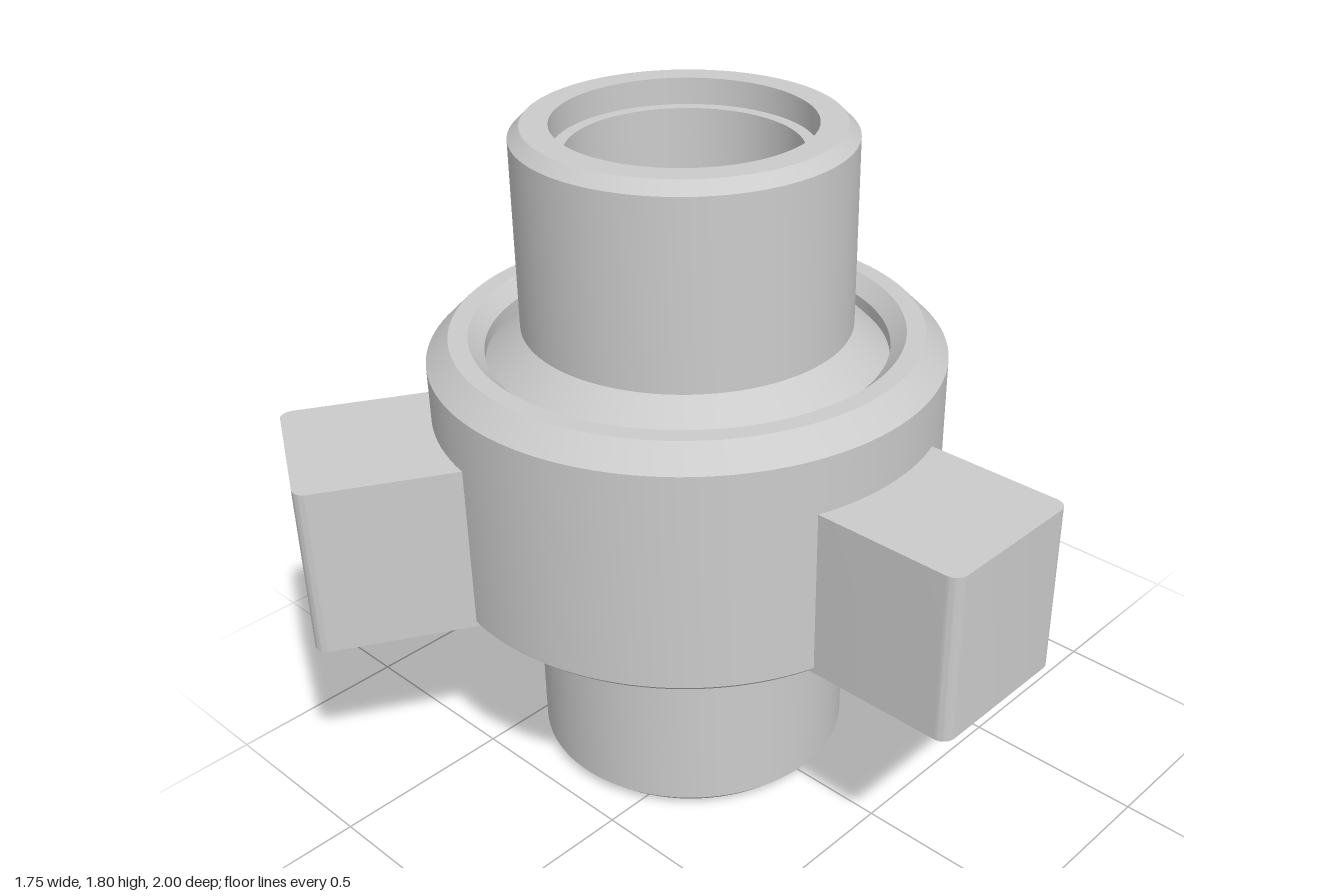
import * as THREE from 'three';
import { toCreasedNormals } from 'three/addons/utils/BufferGeometryUtils.js';

const material = new THREE.MeshStandardMaterial({ color: 0xcccccc });

// Closed ring turned from [radius, height] points, listed outside upward, inside downward
function turned(name, points) {
  const profile = [...points, points[0]].map(([r, y]) => new THREE.Vector2(r, y));
  const mesh = new THREE.Mesh(toCreasedNormals(new THREE.LatheGeometry(profile, 128), 0.3), material);
  mesh.name = name;
  return mesh;
}

// Wing lug: a block with rounded outer corners, reaching out along +x
function lugGeometry() {
  const inner = 0.6, outer = 1.045, half = 0.22, r = 0.035;
  const shape = new THREE.Shape();
  shape.moveTo(inner, -half);
  shape.lineTo(outer - r, -half);
  shape.absarc(outer - r, -half + r, r, -Math.PI / 2, 0);
  shape.absarc(outer - r, half - r, r, 0, Math.PI / 2);
  shape.lineTo(inner, half);
  shape.closePath();
  const geometry = new THREE.ExtrudeGeometry(shape, { depth: 0.465, bevelEnabled: false, curveSegments: 8 });
  geometry.rotateX(-Math.PI / 2).translate(0, 0.585, 0);
  return toCreasedNormals(geometry, 0.4);
}

export function createModel() {
  const model = new THREE.Group();
  model.name = 'hammerUnion';

  // Lower pipe end with a hidden shoulder held by the nut
  model.add(turned('lowerPipe', [
    [0.4, 0], [0.43, 0.03], [0.43, 0.67], [0.52, 0.72], [0.52, 0.9],
    [0.27, 0.9], [0.27, 0.55], [0.297, 0.5], [0.297, 0.07], [0.33, 0.07], [0.33, 0],
  ]));

  // Upper pipe end flaring out into the nut
  model.add(turned('upperPipe', [
    [0.27, 0.9], [0.525, 0.9], [0.525, 1.185], [0.43, 1.28], [0.43, 1.775], [0.4, 1.805],
    [0.33, 1.805], [0.33, 1.735], [0.297, 1.735], [0.297, 1.3], [0.27, 1.25],
  ]));

  // Nut with chamfered rims
  model.add(turned('nut', [
    [0.66, 0.585], [0.675, 0.6], [0.675, 1.2], [0.615, 1.26], [0.565, 1.26],
    [0.525, 1.22], [0.525, 0.7], [0.465, 0.7], [0.465, 0.585],
  ]));

  // Three wing lugs around the nut
  const geometry = lugGeometry();
  for (let i = 0; i < 3; i++) {
    const lug = new THREE.Mesh(geometry, material);
    lug.name = `lug${i + 1}`;
    lug.rotation.y = (i * Math.PI * 2) / 3;
    model.add(lug);
  }

  // The turning axis sits off centre so that the lugs are centred
  model.position.x = -0.175;
  const root = new THREE.Group();
  root.name = 'model';
  root.add(model);
  return root;
}
